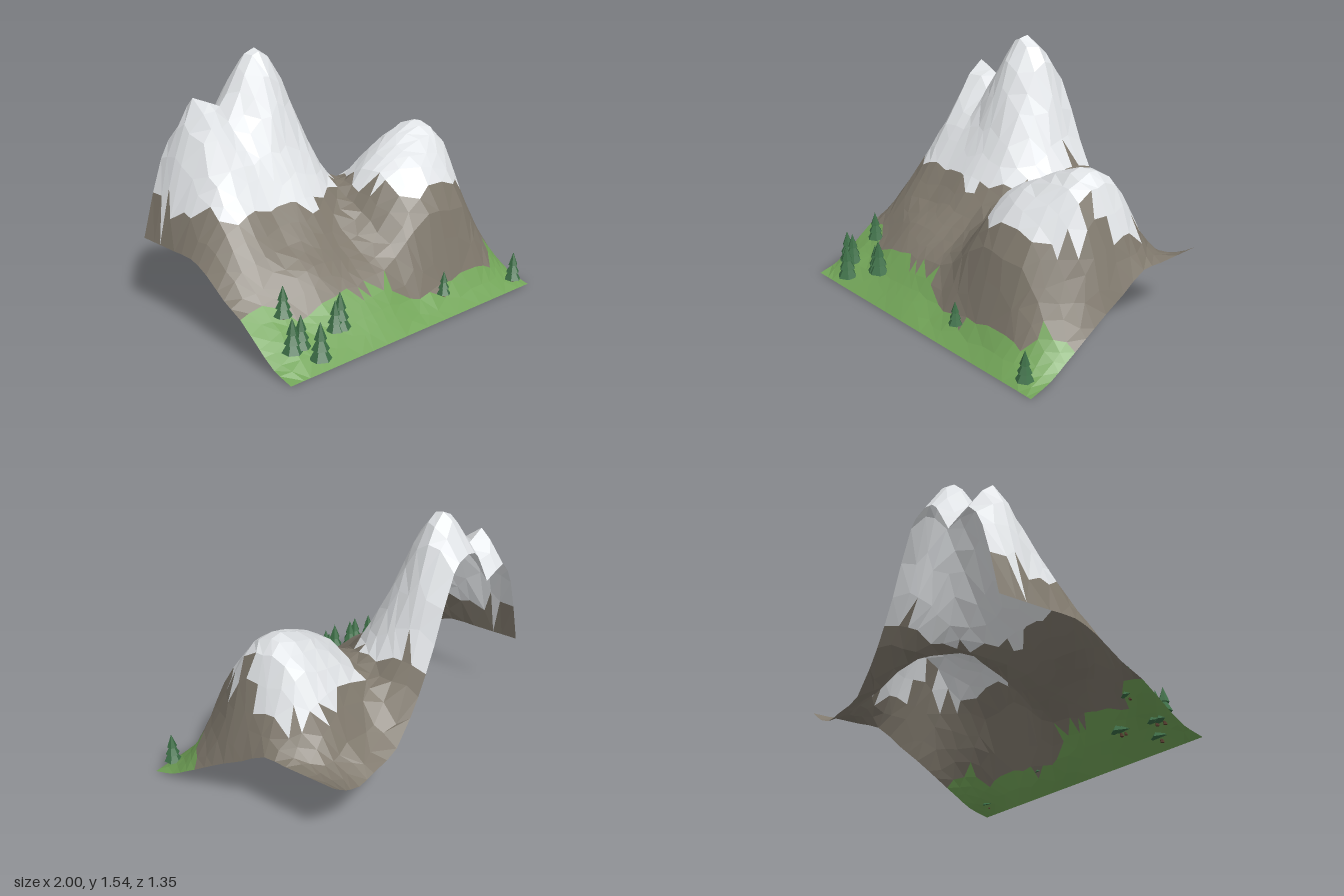
import * as THREE from 'three';

const flat = (name, color, side = THREE.FrontSide) => {
  const m = new THREE.MeshStandardMaterial({ color, flatShading: true, side });
  m.name = name;
  return m;
};

// Terrain cross-sections: heights across x, one row for each z
const XS = [-1, -0.86, -0.72, -0.54, -0.4, -0.28, -0.12, 0.05, 0.2, 0.4, 0.64, 0.78, 0.9, 1];
const ROWS = [
  { z: -0.68, h: [0.46, 0.91, 1.10, 1.05, 1.26, 1.32, 1.24, 0.88, 0.62, 0.39, 0.35, 0.34, 0.39, 0.46] },
  { z: -0.51, h: [0.46, 0.97, 1.30, 1.22, 1.43, 1.54, 1.40, 0.93, 0.67, 0.49, 0.48, 0.45, 0.44, 0.46] },
  { z: -0.36, h: [0.46, 0.84, 1.14, 1.09, 1.28, 1.39, 1.21, 0.87, 0.66, 0.69, 0.74, 0.68, 0.52, 0.46] },
  { z: -0.20, h: [0.46, 0.73, 0.92, 0.92, 0.95, 0.97, 0.92, 0.73, 0.70, 0.85, 0.95, 0.91, 0.64, 0.46] },
  { z: -0.05, h: [0.40, 0.59, 0.68, 0.68, 0.70, 0.71, 0.66, 0.63, 0.79, 0.91, 1.02, 0.95, 0.64, 0.37] },
  { z: 0.10, h: [0.30, 0.43, 0.49, 0.50, 0.52, 0.52, 0.50, 0.57, 0.78, 0.89, 0.94, 0.88, 0.57, 0.29] },
  { z: 0.25, h: [0.23, 0.27, 0.33, 0.40, 0.41, 0.40, 0.39, 0.48, 0.67, 0.80, 0.76, 0.60, 0.38, 0.20] },
  { z: 0.40, h: [0.12, 0.17, 0.19, 0.25, 0.27, 0.28, 0.30, 0.35, 0.48, 0.58, 0.53, 0.36, 0.22, 0.11] },
  { z: 0.52, h: [0.04, 0.10, 0.11, 0.12, 0.13, 0.14, 0.14, 0.12, 0.14, 0.16, 0.17, 0.14, 0.09, 0.04] },
  { z: 0.66, h: [0, 0, 0, 0, 0, 0, 0, 0, 0, 0, 0, 0, 0, 0] },
];

// Upper edge of the meadow as [x, z]
const MEADOW = [[-1, 0.21], [-0.88, 0.24], [-0.72, 0.37], [-0.4, 0.4], [-0.28, 0.43], [-0.1, 0.42],
  [0.05, 0.52], [0.2, 0.55], [0.5, 0.52], [0.78, 0.51], [0.87, 0.39], [1, 0.32]];

const { lerp, clamp } = THREE.MathUtils;

function seeded(seed) {
  return () => {
    seed = (seed * 16807) % 2147483647;
    return seed / 2147483647;
  };
}

// Smooth sample of a list at a fractional index
function sample(list, t) {
  const n = list.length - 1;
  const i = clamp(Math.floor(t), 0, n - 1), f = t - i;
  const a = list[i], b = list[i + 1];
  const ma = i > 0 ? (b - list[i - 1]) / 2 : b - a;
  const mb = i < n - 1 ? (list[i + 2] - a) / 2 : b - a;
  const f2 = f * f, f3 = f2 * f;
  return a * (2 * f3 - 3 * f2 + 1) + ma * (f3 - 2 * f2 + f) + b * (3 * f2 - 2 * f3) + mb * (f3 - f2);
}

function linear(list, t) {
  const i = clamp(Math.floor(t), 0, list.length - 2);
  return lerp(list[i], list[i + 1], t - i);
}

function meadowEdge(x) {
  let i = 0;
  while (i < MEADOW.length - 2 && x > MEADOW[i + 1][0]) i++;
  const [a, b] = [MEADOW[i], MEADOW[i + 1]];
  return lerp(a[1], b[1], (x - a[0]) / (b[0] - a[0]));
}

// Height where snow begins, with bare rock teeth reaching up into it
const tooth = (t, centre, width) => Math.max(0, 1 - Math.abs(t - centre) / width);
function snowLine(x, z) {
  let y = 0.665 + 0.07 * Math.exp(-(((x - 0.12) / 0.09) ** 2));
  if (x > 0.74) y += 0.28 * tooth(z, 0.03, 0.1);
  if (x > 0.2 && z > 0.15) y += 0.12 * tooth(x, 0.38, 0.08);
  if (x > 0 && x < 0.3 && z < -0.4) y += 0.12 * tooth(z, -0.53, 0.1);
  return y;
}

// Jittered height grid, sorted by face into snow, rock and grass
function buildTerrain(materials) {
  const rand = seeded(71);
  const nx = (XS.length - 1) * 2, nz = (ROWS.length - 1) * 2;
  const zs = ROWS.map((r) => r.z);
  const grid = [];
  for (let j = 0; j <= nz; j++) {
    const line = [];
    for (let i = 0; i <= nx; i++) {
      const ju = (rand() - 0.5) * (i % 2 ? 0.36 : 0.14);
      const jv = (rand() - 0.5) * (j % 2 ? 0.36 : 0.14);
      const u = i / 2 + (i > 0 && i < nx ? ju : 0);
      const v = j / 2 + (j > 0 && j < nz ? jv : 0);
      const y = sample(ROWS.map((r) => sample(r.h, u)), v);
      line.push(new THREE.Vector3(linear(XS, u), Math.max(0, y), linear(zs, v)));
    }
    grid.push(line);
  }

  const faces = { snow: [], rock: [], grass: [] };
  const addFace = (a, b, c) => {
    const x = (a.x + b.x + c.x) / 3, y = (a.y + b.y + c.y) / 3, z = (a.z + b.z + c.z) / 3;
    const ragged = (rand() - 0.5) * 0.07;
    const kind = z > meadowEdge(x) ? 'grass' : y > snowLine(x, z) + ragged ? 'snow' : 'rock';
    for (const p of [a, b, c]) faces[kind].push(p.x, p.y, p.z);
  };
  for (let j = 0; j < nz; j++) {
    for (let i = 0; i < nx; i++) {
      const a = grid[j][i], b = grid[j][i + 1], c = grid[j + 1][i], d = grid[j + 1][i + 1];
      // Fold each cell along its flatter diagonal
      if (Math.abs(a.y - d.y) < Math.abs(b.y - c.y)) {
        addFace(a, c, d);
        addFace(a, d, b);
      } else {
        addFace(a, c, b);
        addFace(b, c, d);
      }
    }
  }

  const group = new THREE.Group();
  group.name = 'mountains';
  const names = { snow: 'snowCaps', rock: 'rockSlopes', grass: 'meadow' };
  for (const kind of Object.keys(faces)) {
    const geo = new THREE.BufferGeometry();
    geo.setAttribute('position', new THREE.Float32BufferAttribute(faces[kind], 3));
    geo.computeVertexNormals();
    const mesh = new THREE.Mesh(geo, materials[kind]);
    mesh.name = names[kind];
    group.add(mesh);
  }
  return group;
}

// Conifer of unit height: a short trunk and stacked six-sided tiers
function buildTree(needles, bark) {
  const tree = new THREE.Group();
  tree.name = 'pineTree';
  const trunk = new THREE.Mesh(new THREE.CylinderGeometry(0.05, 0.05, 0.2, 6), bark);
  trunk.name = 'trunk';
  trunk.position.y = 0.1;
  tree.add(trunk);
  for (const [r, y, h] of [[0.27, 0.1, 0.46], [0.215, 0.34, 0.4], [0.15, 0.58, 0.42]]) {
    const tier = new THREE.Mesh(new THREE.ConeGeometry(r, h, 6), needles);
    tier.name = 'branches';
    tier.position.y = y + h / 2;
    tree.add(tier);
  }
  return tree;
}

export function createModel() {
  const model = new THREE.Group();
  model.name = 'mountainLandscape';
  model.add(buildTerrain({
    snow: flat('snow', 0xe2e5e8, THREE.DoubleSide),
    rock: flat('rock', 0x7f786c, THREE.DoubleSide),
    grass: flat('grass', 0x72a458, THREE.DoubleSide),
  }));

  // Trees as [x, base y, z, height]
  const needles = flat('needles', 0x3c6e46), bark = flat('bark', 0x5a4030);
  const trees = [
    [-0.87, 0.08, 0.52, 0.22], [-0.79, 0.21, 0.35, 0.2], [-0.81, 0.09, 0.52, 0.21],
    [-0.75, 0.03, 0.61, 0.24], [-0.56, 0.11, 0.52, 0.2], [-0.525, 0.11, 0.52, 0.24],
    [0.28, 0.1, 0.57, 0.16], [0.9, 0.03, 0.61, 0.2],
  ];
  for (const [x, y, z, size] of trees) {
    const tree = buildTree(needles, bark);
    tree.position.set(x, y, z);
    tree.scale.setScalar(size);
    model.add(tree);
  }
  return model;
}
